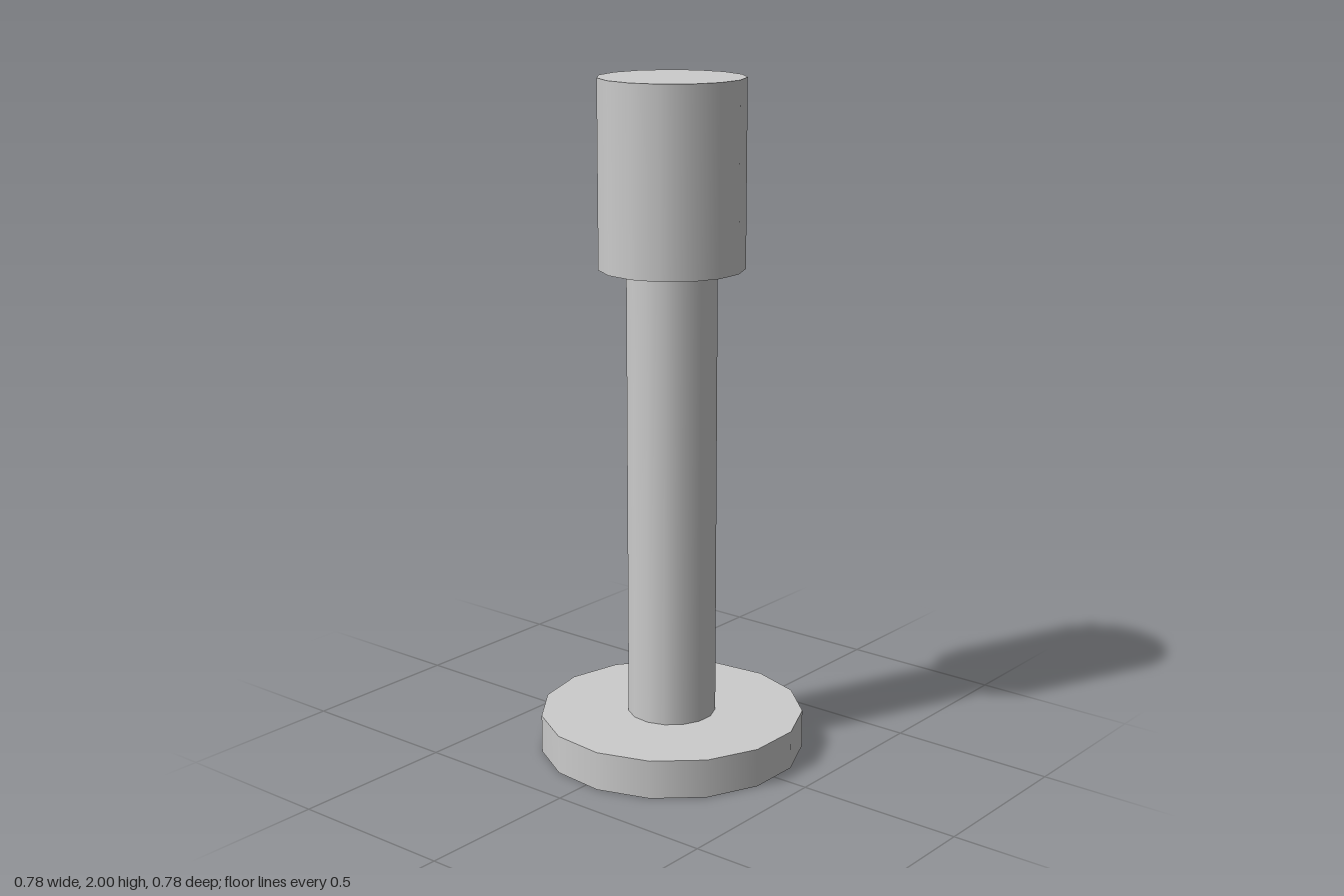
import * as THREE from 'three';

const SIDES = 15;

export function createModel() {
  const group = new THREE.Group();
  const material = new THREE.MeshStandardMaterial({ color: 0xcccccc });

  // Upright 15-sided drum between two heights, one corner pointing to the back
  const addDrum = (name, radius, bottom, top) => {
    const geometry = new THREE.CylinderGeometry(
      radius, radius, top - bottom, SIDES, 1, false, Math.PI, Math.PI * 2);
    const mesh = new THREE.Mesh(geometry, material);
    mesh.name = name;
    mesh.position.set(0, (bottom + top) / 2, 0.004);
    group.add(mesh);
  };

  addDrum('base', 0.393, 0, 0.115);
  addDrum('shaft', 0.131, 0.115, 1.46);
  addDrum('head', 0.211, 1.46, 2);

  return group;
}
